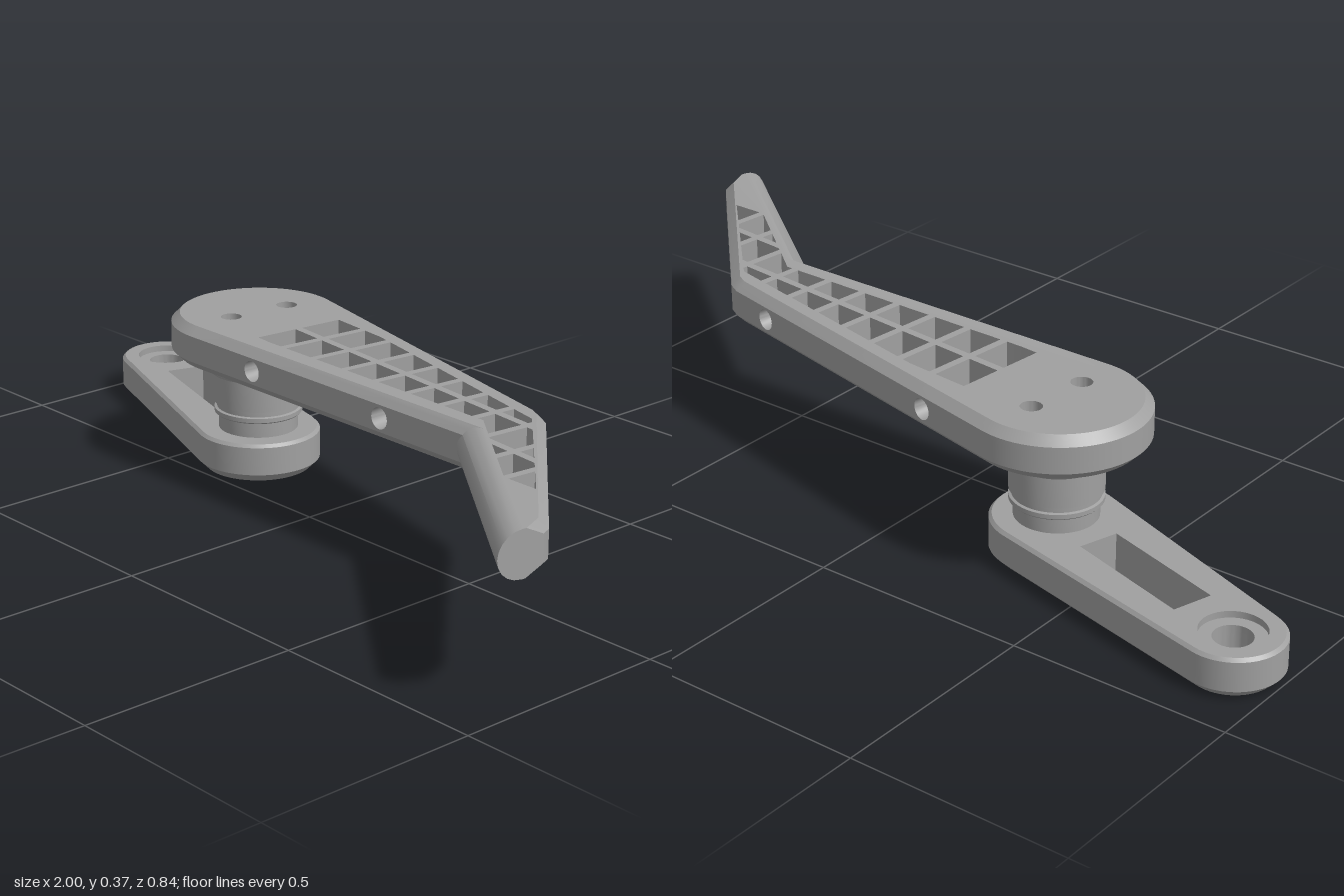
import * as THREE from 'three';
import { toCreasedNormals } from 'three/addons/utils/BufferGeometryUtils.js';

const V2 = (x, y) => new THREE.Vector2(x, y);
const V3 = (x, y, z) => new THREE.Vector3(x, y, z);

// Triangle collector; every face is turned towards the given direction n
function makeSurface() {
  const pos = [];
  const tri = (a, b, c, n) => {
    const normal = b.clone().sub(a).cross(c.clone().sub(a));
    const order = normal.dot(n) < 0 ? [a, c, b] : [a, b, c];
    order.forEach(p => pos.push(p.x, p.y, p.z));
  };
  const quad = (a, b, c, d, n) => { tri(a, b, c, n); tri(a, c, d, n); };
  const face = (contour, holes, map, n) => {
    const all = [contour, ...holes].flat().map(map);
    for (const [a, b, c] of THREE.ShapeUtils.triangulateShape(contour, holes)) tri(all[a], all[b], all[c], n);
  };
  // Inner wall of a hole running between two mapped copies of its loop
  const bore = (loop, mapA, mapB) => {
    const centre = loop.reduce((s, p) => s.add(p), V2(0, 0)).divideScalar(loop.length);
    const mid = mapA(centre);
    loop.forEach((p, i) => {
      const q = loop[(i + 1) % loop.length];
      quad(mapA(p), mapA(q), mapB(q), mapB(p), mid.clone().sub(mapA(p.clone().lerp(q, 0.5))));
    });
  };
  const geometry = () => {
    const g = new THREE.BufferGeometry();
    g.setAttribute('position', new THREE.Float32BufferAttribute(pos, 3));
    return toCreasedNormals(g, 0.5);
  };
  return { quad, face, bore, geometry };
}

const arc = (cx, cy, r, from, to, n) => Array.from({ length: n + 1 }, (_, i) => {
  const t = from + (to - from) * i / n;
  return V2(cx + r * Math.cos(t), cy + r * Math.sin(t));
});
const circle = (cx, cy, r, n = 24) => arc(cx, cy, r, 0, Math.PI * 2 * (1 - 1 / n), n - 1);

// Moves each edge of an outline inwards by its own distance
function inset(pts, dist) {
  const n = pts.length;
  const lines = pts.map((p, i) => {
    const d = pts[(i + 1) % n].clone().sub(p).normalize();
    return { d, p: V2(p.x - d.y * dist(i), p.y + d.x * dist(i)) };
  });
  return lines.map((b, i) => {
    const a = lines[(i + n - 1) % n], k = a.d.cross(b.d);
    if (Math.abs(k) < 1e-5) return b.p.clone();
    return a.p.clone().addScaledVector(a.d, b.p.clone().sub(a.p).cross(b.d) / k);
  });
}

// Flat body in the x-z plane: levels give y and the inset of each edge,
// holes go through or are blind, drilled edges get round side holes
function plate(outline, levels, through, blindTop, blindBottom, drilled = {}) {
  const s = makeSurface(), n = outline.length, last = levels.length - 1;
  const rings = levels.map(l => inset(outline, l.dist));
  const at = y => p => V3(p.x, y, p.y);
  const low = levels[0].y, high = levels[last].y, up = V3(0, 1, 0), down = V3(0, -1, 0);
  s.face(rings[0], [...through, ...blindBottom], at(low), down);
  s.face(rings[last], [...through, ...blindTop], at(high), up);
  through.forEach(h => s.bore(h, at(low), at(high)));
  const blind = (h, y, floor, dir) => { s.bore(h, at(y), at(floor)); s.face(h, [], at(floor), dir); };
  blindTop.forEach(h => blind(h, high, high - 0.05, up));
  blindBottom.forEach(h => blind(h, low, low + 0.04, down));
  for (let i = 0; i < n; i++) {
    const j = (i + 1) % n, d = outline[j].clone().sub(outline[i]).normalize();
    const out = V3(d.y, 0, -d.x);
    for (let k = 0; k < last; k++) {
      if (drilled[i] && levels[k].flat && levels[k + 1].flat) continue;
      const a = at(levels[k].y), b = at(levels[k + 1].y);
      s.quad(a(rings[k][i]), a(rings[k][j]), b(rings[k + 1][j]), b(rings[k + 1][i]), out);
    }
    if (!drilled[i]) continue;
    const flats = levels.map((l, k) => k).filter(k => levels[k].flat);
    const along = (k, m) => V2(rings[k][m].clone().sub(outline[i]).dot(d), levels[k].y);
    const contour = [...flats.map(k => along(k, j)), ...flats.reverse().map(k => along(k, i))];
    const map = depth => p => V3(outline[i].x + d.x * p.x - d.y * depth, p.y, outline[i].y + d.y * p.x + d.x * depth);
    const holes = drilled[i].map(x => circle((x - outline[i].x) / d.x, (low + high) / 2, 0.024));
    s.face(contour, holes, map(0), out);
    holes.forEach(h => { s.bore(h, map(0), map(0.045)); s.face(h, [], map(0.045), out); });
  }
  return s.geometry();
}

// Slanted grid of openings, clipped to the region of the handle
function latticeHoles(region) {
  const o = V2(-0.185, -0.125), tilt = 0.1, pitchU = 0.1, pitchV = 0.12, rib = 0.009, zero = V2(0, 0);
  const local = region.map(p => p.clone().sub(o).rotateAround(zero, -tilt));
  const clip = (poly, axis, limit, sign) => poly.flatMap((p, i) => {
    const q = poly[(i + 1) % poly.length];
    const a = sign * (p[axis] - limit), b = sign * (q[axis] - limit);
    const res = a >= 0 ? [p] : [];
    if (a * b < 0) res.push(p.clone().lerp(q, a / (a - b)));
    return res;
  });
  const cells = [];
  for (let i = 0; i < 12; i++) for (let j = -2; j < 3; j++) {
    let c = clip(local, 'x', i * pitchU + rib, 1);
    c = clip(c, 'x', (i + 1) * pitchU - rib, -1);
    c = clip(c, 'y', j * pitchV + rib, 1);
    c = clip(c, 'y', (j + 1) * pitchV - rib, -1);
    if (c.length > 2 && Math.abs(THREE.ShapeUtils.area(c)) > 0.0006)
      cells.push(c.map(p => p.clone().rotateAround(zero, tilt).add(o)));
  }
  return cells;
}

export function createModel() {
  const group = new THREE.Group();
  const grey = new THREE.MeshStandardMaterial({ color: 0xa0a0a0 });
  grey.name = 'grey';
  const add = (name, geometry, x = 0, y = 0, z = 0) => {
    const mesh = new THREE.Mesh(geometry, grey);
    mesh.name = name;
    mesh.position.set(x, y, z);
    group.add(mesh);
  };
  const pivot = V2(-0.34, -0.143), eye = V2(-0.89, -0.31);

  // Lower arm: tapered link with slot, eye and screw holes underneath
  const axis = pivot.clone().sub(eye), len = axis.length(), dir = axis.angle();
  const lean = Math.acos((0.143 - 0.11) / len);
  const linkOutline = [
    ...arc(pivot.x, pivot.y, 0.143, dir - Math.PI + lean - 0, dir + Math.PI - lean, 36),
    ...arc(eye.x, eye.y, 0.11, dir + Math.PI - lean, dir + Math.PI + lean, 28),
  ];
  const onLink = (u, v) => V2(u, v).rotateAround(V2(0, 0), dir).add(eye);
  const slot = [onLink(0.125, -0.047), onLink(0.43, -0.047), onLink(0.43, 0.047), onLink(0.125, 0.047)];
  const screws = [0, 1, 2].map(i => {
    const t = dir + i * Math.PI * 2 / 3;
    return circle(pivot.x + 0.06 * Math.cos(t), pivot.y + 0.06 * Math.sin(t), 0.024);
  });
  const linkLevels = [[0, 0.02], [0.02, 0], [0.086, 0], [0.093, 0.007]].map(([y, c]) => ({ y, dist: () => c }));
  add('lowerArm', plate(linkOutline, linkLevels, [slot, circle(eye.x, eye.y, 0.07, 36)], [], screws));

  // Bushing set into the eye
  const turn = pts => toCreasedNormals(new THREE.LatheGeometry(pts.map(p => V2(...p)), 48).toNonIndexed(), 0.5);
  add('eyeBushing', turn([[0.042, 0.02], [0.07, 0.02], [0.07, 0.078], [0.042, 0.078], [0.042, 0.02]]), eye.x, 0, eye.y);

  // Stepped pivot shaft between the arms
  add('pivotShaft', turn([
    [0.0, 0.09], [0.092, 0.09], [0.092, 0.127], [0.099, 0.129], [0.102, 0.132], [0.102, 0.142], [0.096, 0.144],
    [0.096, 0.155], [0.102, 0.157], [0.102, 0.229], [0.109, 0.229], [0.112, 0.234], [0.112, 0.272], [0, 0.272],
  ]), pivot.x, 0, pivot.y);

  // Upper arm: round head, tapering body and bent handle with a fully rounded grip edge
  const head = arc(-0.34, -0.145, 0.2, Math.PI / 2, Math.PI * 1.5 + 0.2316, 40);
  const handle = [[0.56, -0.139], [0.59, -0.122], [0.99, 0.29], [1.0, 0.315], [0.985, 0.42], [0.51, 0.055]];
  const armOutline = [...head, ...handle.map(p => V2(...p))];
  const count = armOutline.length, tipEdge = count - 3, gripEdge = count - 2;
  const armLevels = [-90, -72, -54, -36.87, -18, 0, 18, 36.87, 54, 72, 90].map(deg => {
    const t = deg * Math.PI / 180, y = 0.05 * Math.sin(t);
    const round = 0.05 * (1 - Math.cos(t)), chamfer = Math.max(0, Math.abs(y) - 0.03);
    return {
      y: 0.32 + y, flat: Math.abs(deg) < 40,
      dist: i => (i === tipEdge ? 0 : i === gripEdge ? round : chamfer),
    };
  });
  const region = [[-0.165, -0.255], [0.59, -0.08], [0.87, 0.2], [0.785, 0.2], [0.53, 0.0], [-0.2, -0.01]];
  const topHoles = [circle(-0.33, -0.222, 0.024), circle(-0.345, -0.068, 0.024)];
  add('upperArm', plate(armOutline, armLevels, latticeHoles(region.map(p => V2(...p))), topHoles, [],
    { [count - 1]: [-0.13, 0.28], [head.length - 1]: [-0.1, 0.45] }));

  return group;
}
